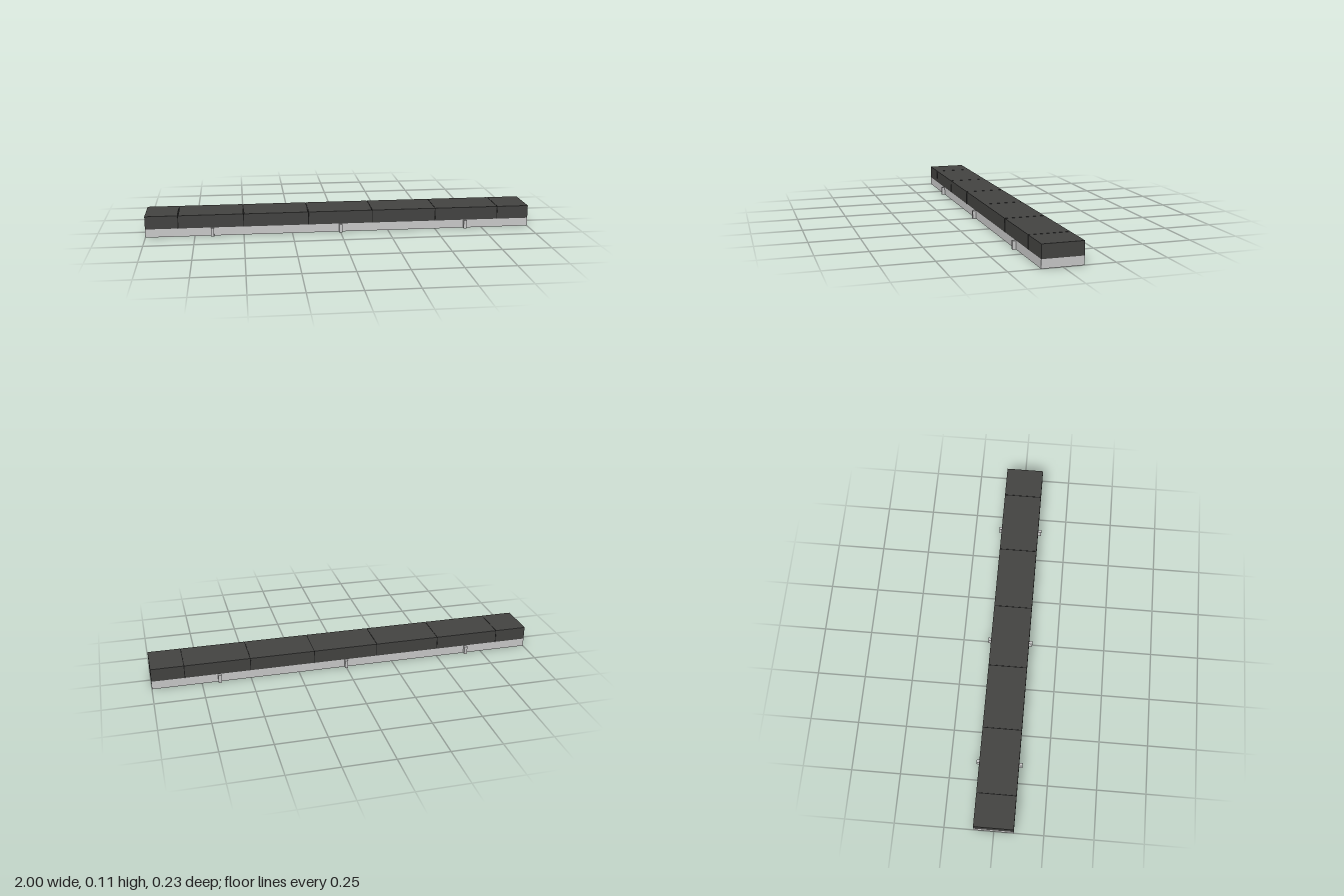
import * as THREE from 'three';

export function createModel() {
  const group = new THREE.Group();
  const grey = new THREE.MeshStandardMaterial({ color: 0xcccccc });
  const dark = new THREE.MeshStandardMaterial({ color: 0x444442 });
  const black = new THREE.MeshStandardMaterial({ color: 0x1c1c1c });

  const baseTop = 0.043, top = 0.11, halfDepth = 0.1;

  // Box spanning x0..x1, y0..y1, z0..z1
  function box(name, material, x0, x1, y0, y1, z0, z1) {
    const mesh = new THREE.Mesh(new THREE.BoxGeometry(x1 - x0, y1 - y0, z1 - z0), material);
    mesh.position.set((x0 + x1) / 2, (y0 + y1) / 2, (z0 + z1) / 2);
    mesh.name = name;
    group.add(mesh);
  }

  // Pale lower slab
  box('base', grey, -1, 1, 0, baseTop, -halfDepth, halfDepth);

  // Dark core that shows only in the narrow joints
  box('jointFill', black, -0.99, 0.99, baseTop, top - 0.002, -halfDepth + 0.002, halfDepth - 0.002);

  // Row of cover blocks: five full lengths with a half length at each end
  const joints = [-1, -5 / 6, -0.5, -1 / 6, 1 / 6, 0.5, 5 / 6, 1];
  const gap = 0.002;
  for (let i = 0; i < joints.length - 1; i++) {
    const x0 = joints[i] + (i > 0 ? gap : 0);
    const x1 = joints[i + 1] - (i < joints.length - 2 ? gap : 0);
    box('coverBlock', dark, x0, x1, baseTop, top, -halfDepth, halfDepth);
  }

  // Small lugs along both long sides of the base
  for (const x of [-0.66, 0, 0.66]) {
    box('frontLug', grey, x - 0.008, x + 0.008, 0, 0.042, halfDepth, 0.117);
    box('backLug', grey, x - 0.008, x + 0.008, 0, 0.042, -0.117, -halfDepth);
  }

  return group;
}
